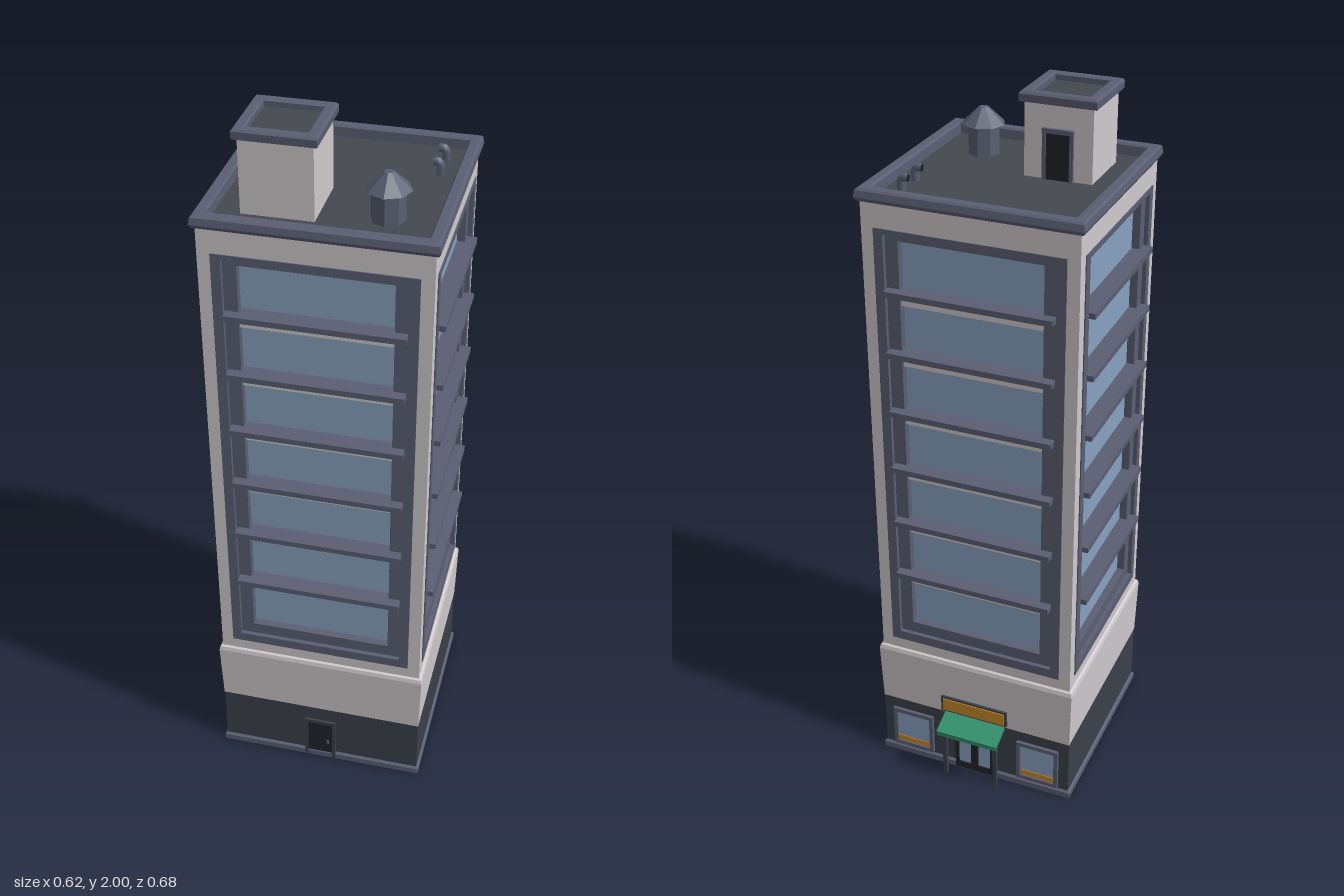
import * as THREE from 'three';

const mat = (name, color, side = THREE.FrontSide) => {
  const m = new THREE.MeshStandardMaterial({ color, side });
  m.name = name;
  return m;
};

export function createModel() {
  const white = mat('offWhite', 0xd0cacd);
  const slate = mat('slate', 0x5b5f73);
  const dark = mat('charcoal', 0x3b4049);
  const roofMat = mat('roofGrey', 0x454950);
  const black = mat('black', 0x1f2329);
  const glass = mat('glassBlue', 0x88a2c0);
  const green = mat('awningGreen', 0x2f8f6b, THREE.DoubleSide);
  const amber = mat('amber', 0xc48a2c);

  const model = new THREE.Group();
  model.name = 'officeTower';
  const CZ = 0.0225; // tower centre in z

  const add = (parent, name, geo, m, x = 0, y = 0, z = 0) => {
    const mesh = new THREE.Mesh(geo, m);
    mesh.name = name;
    mesh.position.set(x, y, z);
    parent.add(mesh);
    return mesh;
  };
  // Box given by its limits
  const box = (parent, name, m, x0, x1, y0, y1, z0, z1) =>
    add(parent, name, new THREE.BoxGeometry(x1 - x0, y1 - y0, z1 - z0), m,
      (x0 + x1) / 2, (y0 + y1) / 2, (z0 + z1) / 2);
  // Square loft from [halfWidth, y] pairs
  const squareLoft = (profile) => {
    const pts = profile.map(([h, y]) => new THREE.Vector2(h * Math.SQRT2, y));
    const g = new THREE.LatheGeometry(pts, 4, Math.PI / 4).toNonIndexed();
    g.computeVertexNormals();
    return g;
  };
  // Rectangular ring from z0 to z1
  const ring = (w, y0, y1, hw, hy0, hy1, z0, z1) => {
    const s = new THREE.Shape([[-w, y0], [w, y0], [w, y1], [-w, y1]].map(p => new THREE.Vector2(...p)));
    s.holes.push(new THREE.Path([[-hw, hy0], [-hw, hy1], [hw, hy1], [hw, hy0]].map(p => new THREE.Vector2(...p))));
    return new THREE.ExtrudeGeometry(s, { depth: z1 - z0, bevelEnabled: false }).translate(0, 0, z0);
  };

  // Tower body
  const tower = new THREE.Group();
  tower.name = 'tower';
  tower.position.z = CZ;
  model.add(tower);
  add(tower, 'plinth', squareLoft([[0, 0], [0.302, 0], [0.302, 0.018], [0.296, 0.024]]), slate);
  add(tower, 'groundFloor', squareLoft([[0.296, 0.02], [0.296, 0.2]]), dark);
  add(tower, 'underside', squareLoft([[0, -0.0], [0.29, 0.002]]), dark);
  add(tower, 'lowerBand', squareLoft([[0.29, 0.2], [0.297, 0.2], [0.302, 0.38], [0.299, 0.392], [0.285, 0.4]]), white);
  add(tower, 'parapet', squareLoft([[0.28, 1.772], [0.3, 1.775], [0.305, 1.785], [0.302, 1.803], [0.297, 1.808],
    [0.275, 1.808], [0.271, 1.803], [0.27, 1.77]]), slate);
  box(tower, 'roof', roofMat, -0.28, 0.28, 1.755, 1.777, -0.28, 0.28);

  // Four matching window faces
  for (let i = 0; i < 4; i++) {
    const face = new THREE.Group();
    face.name = 'windowFace' + (i + 1);
    face.rotation.y = i * Math.PI / 2;
    tower.add(face);
    add(face, 'wall', ring(0.293, 0.39, 1.775, 0.259, 0.43, 1.708, 0.25, 0.293), white);
    add(face, 'outerFrame', ring(0.259, 0.43, 1.708, 0.233, 0.458, 1.693, 0.25, 0.296), slate);
    add(face, 'innerFrame', ring(0.233, 0.458, 1.693, 0.197, 0.493, 1.677, 0.25, 0.284), slate);
    box(face, 'glass', glass, -0.2, 0.2, 0.48, 1.69, 0.255, 0.262);
    for (let k = 0; k < 6; k++) {
      const y = 0.668 + k * 0.174;
      box(face, 'floorSlab', white, -0.197, 0.197, y - 0.041, y - 0.006, 0.26, 0.276);
      box(face, 'ledge', slate, -0.23, 0.23, y - 0.008, y + 0.008, 0.26, 0.312);
    }
  }

  // Roof house with capped, sunken top and a door at the back
  const house = new THREE.Group();
  house.name = 'roofHouse';
  house.position.set(-0.113, 0, 0.136);
  model.add(house);
  add(house, 'houseWalls', squareLoft([[0.093, 1.77], [0.093, 1.98]]), white);
  add(house, 'houseCap', squareLoft([[0.09, 1.972], [0.104, 1.974], [0.105, 1.994], [0.1, 2], [0.08, 2], [0.075, 1.997], [0.075, 1.978]]), slate);
  box(house, 'houseTop', roofMat, -0.08, 0.08, 1.975, 1.983, -0.08, 0.08);
  box(house, 'roofDoor', black, -0.033, 0.033, 1.775, 1.9, -0.098, -0.09);
  for (const s of [-1, 1]) box(house, 'roofDoorJamb', slate, s * 0.037 - 0.005, s * 0.037 + 0.005, 1.775, 1.905, -0.101, -0.09);
  box(house, 'roofDoorHead', slate, -0.042, 0.042, 1.9, 1.912, -0.103, -0.09);

  // Roof vent and two bent pipes
  const flat = g => { const n = g.toNonIndexed(); n.computeVertexNormals(); return n; };
  add(model, 'ventBody', flat(new THREE.CylinderGeometry(0.044, 0.044, 0.085, 8)), slate, 0.147, 1.815, 0.17);
  add(model, 'ventCap', flat(new THREE.CylinderGeometry(0.012, 0.059, 0.045, 8)), slate, 0.147, 1.88, 0.17);
  for (const z of [-0.172, -0.092]) {
    const path = new THREE.CatmullRomCurve3([[0, 0, 0], [0, 0.03, 0], [-0.006, 0.037, 0], [-0.018, 0.036, 0]]
      .map(p => new THREE.Vector3(...p)));
    add(model, 'roofPipe', new THREE.TubeGeometry(path, 8, 0.011, 6), slate, 0.224, 1.775, z);
    add(model, 'pipeMouth', new THREE.CircleGeometry(0.011, 6), black, 0.2055, 1.811, z).rotation.y = -Math.PI / 2;
  }

  // Front service door
  const F = CZ + 0.296;
  box(model, 'frontDoor', black, -0.038, 0.038, 0, 0.142, F - 0.01, F + 0.004);
  for (const s of [-1, 1]) box(model, 'frontDoorJamb', dark, s * 0.042 - 0.005, s * 0.042 + 0.005, 0, 0.15, F - 0.01, F + 0.008);
  box(model, 'frontDoorHead', dark, -0.047, 0.047, 0.142, 0.152, F - 0.01, F + 0.008);
  box(model, 'frontDoorHandle', slate, 0.02, 0.027, 0.06, 0.072, F, F + 0.008);

  // Back shopfront
  const B = CZ - 0.296;
  const shop = new THREE.Group();
  shop.name = 'shopfront';
  shop.position.z = B;
  shop.rotation.y = Math.PI; // local +z points outward
  model.add(shop);
  for (const s of [-1, 1]) {
    // Double door leaf
    add(shop, 'shopDoorFrame', ring(0.031, 0.004, 0.155, 0.02, 0.025, 0.142, -0.01, 0.008), black, s * 0.031);
    box(shop, 'shopDoorGlass', glass, s * 0.031 - 0.022, s * 0.031 + 0.022, 0.02, 0.145, -0.004, 0.003);
    // Display window with amber shelf
    add(shop, 'shopWindowFrame', ring(0.065, 0.03, 0.165, 0.053, 0.042, 0.153, -0.01, 0.01), slate, s * 0.2);
    box(shop, 'shopWindowGlass', glass, s * 0.2 - 0.055, s * 0.2 + 0.055, 0.04, 0.155, -0.004, 0.003);
    box(shop, 'windowDisplay', amber, s * 0.2 - 0.053, s * 0.2 + 0.053, 0.042, 0.06, 0, 0.005);
    // Awning post
    box(shop, 'awningPost', dark, s * 0.08 - 0.006, s * 0.08 + 0.006, 0, 0.185, 0.033, 0.045);
  }
  const awning = add(shop, 'awning', new THREE.BoxGeometry(0.19, 0.01, 0.07), green, 0, 0.184, 0.033);
  awning.rotation.x = 0.36;
  box(shop, 'awningValance', green, -0.095, 0.095, 0.16, 0.174, 0.06, 0.065);
  box(shop, 'signFrame', dark, -0.104, 0.104, 0.21, 0.262, -0.01, 0.01);
  box(shop, 'signPanel', amber, -0.097, 0.097, 0.216, 0.256, 0.006, 0.013);

  return model;
}
